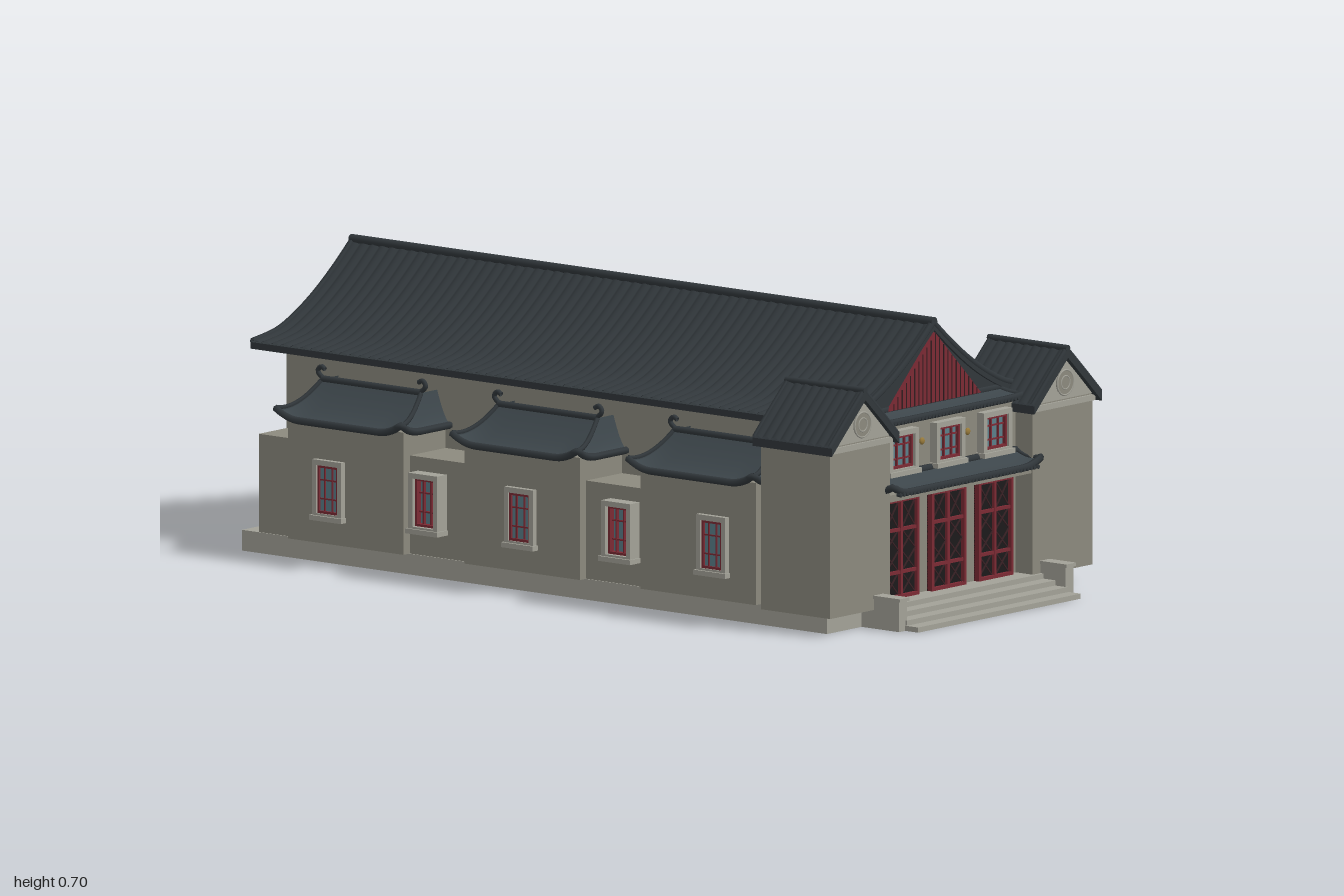
import * as THREE from 'three';
import { ParametricGeometry } from 'three/addons/geometries/ParametricGeometry.js';

const mat = (color) => new THREE.MeshStandardMaterial({ color, side: THREE.DoubleSide });
const M = {
  wall: mat(0x8c8a7e), stone: mat(0xa3a298), tile: mat(0x31373b), slate: mat(0x3c454a),
  red: mat(0x7c2a34), dark: mat(0x1c1a1b), lattice: mat(0x3a2226), glass: mat(0x5a7f8a), gold: mat(0x9a7c3c),
};
const lerp = THREE.MathUtils.lerp;

function add(parent, name, geo, material, x = 0, y = 0, z = 0) {
  const m = new THREE.Mesh(geo, material);
  m.name = name;
  m.position.set(x, y, z);
  parent.add(m);
  return m;
}
// Box given by its limits
function box(parent, name, material, x0, x1, y0, y1, z0, z1) {
  return add(parent, name, new THREE.BoxGeometry(x1 - x0, y1 - y0, z1 - z0), material,
    (x0 + x1) / 2, (y0 + y1) / 2, (z0 + z1) / 2);
}
// Symmetric outline in (z, y), extruded along x
function alongX(pts, x0, x1) {
  const g = new THREE.ExtrudeGeometry(new THREE.Shape(pts), { depth: x1 - x0, bevelEnabled: false });
  return g.rotateY(Math.PI / 2).translate(x0, 0, 0);
}
function ring(w, h, t, depth) {
  const rect = (C, a, b) => new C([[-a, -b], [a, -b], [a, b], [-a, b]].map(p => new THREE.Vector2(...p)));
  const s = rect(THREE.Shape, w / 2, h / 2);
  s.holes.push(rect(THREE.Path, w / 2 - t, h / 2 - t));
  return new THREE.ExtrudeGeometry(s, { depth, bevelEnabled: false });
}
function tube(parent, name, pts, r, material, n = 20) {
  const c = new THREE.CatmullRomCurve3(pts.map(p => new THREE.Vector3(...p)));
  return add(parent, name, new THREE.TubeGeometry(c, n, r, 6), material);
}

// Gable roof: thick slab, rows of round tiles, ridge roll and verge rolls
function gableRoof(name, half, x0, x1, ribs, thick, ridgeR) {
  const g = new THREE.Group();
  g.name = name;
  const right = new THREE.SplineCurve(half.map(p => new THREE.Vector2(...p))).getPoints(16);
  const top = [...right.slice(1).reverse().map(p => new THREE.Vector2(-p.x, p.y)), ...right];
  const under = top.map(p => new THREE.Vector2(p.x, p.y - thick)).reverse();
  add(g, 'roofSlab', alongX([...top, ...under], x0, x1), M.tile);
  for (const s of [-1, 1]) {
    const tiles = new ParametricGeometry((u, v, t) => {
      const i = Math.min(15, Math.floor(v * 16)), p = right[i].clone().lerp(right[i + 1], v * 16 - i);
      t.set(lerp(x0, x1, u), p.y + 0.001 + 0.006 * Math.abs(Math.sin(u * ribs * Math.PI)), s * p.x);
    }, ribs * 4, 16);
    add(g, 'roofTiles', tiles, M.tile);
    for (const x of [x0 + 0.006, x1 - 0.006])
      tube(g, 'vergeRoll', right.map(p => [x, p.y + 0.002, s * p.x]), ridgeR * 0.8, M.tile);
  }
  add(g, 'ridge', new THREE.CylinderGeometry(ridgeR, ridgeR, x1 - x0, 10).rotateZ(Math.PI / 2), M.tile,
    (x0 + x1) / 2, half[0][1] + ridgeR * 0.4, 0);
  return g;
}

// Hipped lean-to roof facing +z with concave slope and lifted corners
function leanTo(name, { hw0, hw1, zb, z0, z1, y0, y1, lift, horns }) {
  const g = new THREE.Group();
  g.name = name;
  const at = (u, v, t) => {
    const hw = lerp(hw0, hw1, v), z = lerp(z0, z1, v);
    const x = u < 0.2 ? -hw : u > 0.8 ? hw : lerp(-hw, hw, (u - 0.2) / 0.6);
    const zz = u < 0.2 ? lerp(zb, z, u / 0.2) : u > 0.8 ? lerp(z, zb, (u - 0.8) / 0.2) : z;
    const d = Math.hypot(hw - Math.abs(x), z - zz);
    return t.set(x, lerp(y0, y1, 1 - (1 - v) ** 1.6) + lift * v * v * Math.max(0, 1 - d / 0.07) ** 2, zz);
  };
  const path = (f, n) => Array.from({ length: n + 1 }, (_, i) => f(i / n, new THREE.Vector3()).toArray());
  add(g, 'slopes', new ParametricGeometry(at, 60, 10), M.slate);
  const eave = tube(g, 'eaveRoll', path((k, t) => at(k, 1, t), 40), 0.009, M.tile, 80);
  eave.position.y = -0.003;
  tube(g, 'ridgeRoll', path((k, t) => at(0.2 + 0.6 * k, 0, t), 4), 0.009, M.tile);
  for (const u of [0.2, 0.8]) tube(g, 'hipRoll', path((k, t) => at(u, k, t), 10), 0.006, M.tile);
  // Curled ends of the ridge
  if (horns) for (const s of [-1, 1])
    tube(g, 'ridgeHorn', [[-0.03, 0], [0, 0.004], [0.014, 0.018], [0.004, 0.03], [-0.008, 0.024]]
      .map(([a, b]) => [s * (hw0 + a), y0 + b, z0]), 0.006, M.tile);
  return g;
}

// Window facing +z, centred on its origin
function windowUnit(w, h, depth) {
  const g = new THREE.Group();
  g.name = 'window';
  add(g, 'surround', ring(w, h, 0.013, depth), M.stone);
  box(g, 'glass', M.glass, -w / 2 + 0.01, w / 2 - 0.01, -h / 2 + 0.01, h / 2 - 0.01, 0, depth * 0.3);
  add(g, 'redFrame', ring(w - 0.026, h - 0.026, 0.006, depth * 0.7), M.red);
  for (const k of [-1, 1]) {
    const x = k * w * 0.13, y = k * h * 0.16;
    box(g, 'mullion', M.red, x - 0.0018, x + 0.0018, -h / 2 + 0.014, h / 2 - 0.014, 0, depth * 0.55);
    box(g, 'glazingBar', M.red, -w / 2 + 0.014, w / 2 - 0.014, y - 0.0018, y + 0.0018, 0, depth * 0.5);
  }
  box(g, 'sill', M.stone, -w / 2 - 0.004, w / 2 + 0.004, -h / 2 - 0.004, -h / 2 + 0.008, 0, depth + 0.006);
  return g;
}

// Panelled double door facing +z, standing on its origin
function doorUnit(w, h) {
  const g = new THREE.Group();
  g.name = 'door';
  box(g, 'panel', M.dark, -w / 2, w / 2, 0, h, 0, 0.006);
  add(g, 'doorFrame', ring(w, h, 0.008, 0.016), M.red, 0, h / 2, 0);
  box(g, 'centreStile', M.red, -0.004, 0.004, 0, h, 0, 0.014);
  const rails = [0.006, 0.062, 0.165, h - 0.006];
  for (const y of rails.slice(1, 3)) box(g, 'rail', M.red, -w / 2, w / 2, y - 0.004, y + 0.004, 0, 0.013);
  // Crossed lattice, one diamond field for each leaf and panel
  for (let i = 0; i < 3; i++) for (const s of [-1, 1]) {
    const ph = rails[i + 1] - rails[i], n = Math.max(1, Math.round(ph / 0.05));
    for (let j = 0; j < n; j++) for (const d of [-1, 1]) {
      const bar = add(g, 'lattice', new THREE.BoxGeometry(Math.hypot(0.052, ph / n) - 0.004, 0.003, 0.003),
        M.lattice, s * 0.031, rails[i] + ph * (j + 0.5) / n, 0.008);
      bar.rotation.z = d * Math.atan2(ph / n, 0.052);
    }
  }
  return g;
}

export function createModel() {
  const root = new THREE.Group();
  root.name = 'hall';

  // Plinth, steps and cheek blocks
  box(root, 'plinth', M.stone, -0.96, 0.845, 0, 0.05, -0.456, 0.456);
  for (let i = 0; i < 4; i++)
    box(root, 'step', M.stone, 0.83, 1 - i * 0.036, i * 0.0125, (i + 1) * 0.0125, -0.303 + i * 0.002, 0.303 - i * 0.002);
  for (const s of [-1, 1]) {
    const block = box(root, 'stepCheek', M.stone, 0.84, 0.96, 0, 0.076, -0.015, 0.015);
    block.position.z = s * 0.311;
    const cap = box(root, 'cheekCap', M.stone, 0.87, 0.965, 0.072, 0.08, -0.018, 0.018);
    cap.position.z = s * 0.311;
  }

  // Main hall under its curved roof
  const half = [[0, 0.683], [0.06, 0.632], [0.13, 0.58], [0.2, 0.538], [0.28, 0.503], [0.375, 0.488]];
  const gable = half.slice(0, 5).map(([z, y]) => [z, y - 0.012]).concat([[0.32, 0.48], [0.32, 0.05]]);
  const outline = [...gable.slice().reverse().map(([z, y]) => [-z, y]), ...gable.slice(1)].map(p => new THREE.Vector2(...p));
  add(root, 'hallWalls', alongX(outline, -0.935, 0.78), M.wall);
  root.add(gableRoof('mainRoof', half, -1, 0.8, 60, 0.016, 0.011));
  box(root, 'frontWall', M.wall, 0.7, 0.83, 0.05, 0.475, -0.27, 0.27);

  // Front gable: dark border, red boarded triangle, skirt roof
  const tri = (a, b, top) => [[-a, b], [a, b], [0, top]].map(p => new THREE.Vector2(...p));
  const border = outline.map(p => new THREE.Vector2(p.x, Math.max(p.y, 0.475)));
  add(root, 'gableBorder', alongX(border, 0.78, 0.793), M.tile);
  add(root, 'gableBoards', alongX(tri(0.172, 0.494, 0.662), 0.793, 0.802), M.red);
  for (let i = -10; i <= 10; i++) {
    const z = i * 0.0155, top = 0.66 - Math.abs(z) * 0.97;
    box(root, 'boardJoint', M.lattice, 0.8, 0.804, 0.494, top, z - 0.001, z + 0.001);
  }
  const front = new THREE.Group();
  front.name = 'entranceFront';
  front.rotation.y = Math.PI / 2;
  root.add(front);
  front.add(leanTo('gableSkirt', { hw0: 0.25, hw1: 0.28, zb: 0.78, z0: 0.79, z1: 0.84, y0: 0.495, y1: 0.478, lift: 0.004 }));
  front.add(leanTo('doorCanopy', { hw0: 0.262, hw1: 0.277, zb: 0.82, z0: 0.835, z1: 0.9, y0: 0.348, y1: 0.32, lift: 0.018 }));
  box(front, 'canopySoffit', M.wall, -0.265, 0.265, 0.295, 0.312, 0.82, 0.88);
  for (let i = -20; i <= 20; i++) {
    add(front, 'canopyTileEnd', new THREE.CylinderGeometry(0.005, 0.005, 0.012, 6).rotateX(Math.PI / 2),
      M.tile, i * 0.0128, 0.315, 0.904);
    add(front, 'skirtTileEnd', new THREE.CylinderGeometry(0.005, 0.005, 0.012, 6).rotateX(Math.PI / 2),
      M.tile, i * 0.0128, 0.474, 0.844);
  }
  for (const i of [-1, 0, 1]) {
    const door = doorUnit(0.128, 0.24);
    door.position.set(i * 0.175, 0.05, 0.83);
    const win = windowUnit(0.107, 0.105, 0.022);
    win.position.set(i * 0.175, 0.403, 0.83);
    front.add(door, win);
    if (i) add(front, 'goldBoss', new THREE.SphereGeometry(0.009, 10, 6).scale(1, 1, 0.5), M.gold, i * 0.085, 0.415, 0.832);
  }

  // Corner towers with small gabled roofs
  for (const s of [-1, 1]) {
    const t = new THREE.Group();
    t.name = 'cornerTower';
    t.position.z = s * 0.378;
    root.add(t);
    const body = [[-0.112, 0.045], [0.112, 0.045], [0.112, 0.455], [0, 0.565], [-0.112, 0.455]];
    add(t, 'towerWalls', alongX(body.map(p => new THREE.Vector2(...p)), 0.67, 0.883), M.wall);
    add(t, 'towerGable', alongX(tri(0.105, 0.46, 0.562), 0.88, 0.887), M.stone);
    box(t, 'towerBand', M.stone, 0.668, 0.889, 0.442, 0.456, -0.115, 0.115);
    t.add(gableRoof('towerRoof', [[0, 0.58], [0.064, 0.52], [0.126, 0.46]], 0.655, 0.9, 9, 0.02, 0.008));
    add(t, 'medallion', new THREE.CylinderGeometry(0.03, 0.03, 0.008, 28).rotateZ(Math.PI / 2), M.wall, 0.888, 0.5, 0);
    for (const r of [0.03, 0.016])
      add(t, 'medallionRim', new THREE.TorusGeometry(r, 0.0025, 6, 28).rotateY(Math.PI / 2), M.stone, 0.891, 0.5, 0);
  }

  // Side aisles with roofed bays and windows
  for (const s of [-1, 1]) {
    const side = new THREE.Group();
    side.name = 'sideAisle';
    if (s < 0) side.rotation.y = Math.PI;
    root.add(side);
    box(side, 'aisleWall', M.wall, s > 0 ? -0.91 : -0.68, s > 0 ? 0.68 : 0.91, 0.05, 0.287, 0.3, 0.453);
    for (const bx of [-0.622, -0.078, 0.465]) {
      const bay = new THREE.Group();
      bay.name = 'bay';
      bay.position.x = s * bx;
      side.add(bay);
      box(bay, 'bayWall', M.wall, -0.178, 0.178, 0.05, 0.345, 0.3, 0.477);
      bay.add(leanTo('bayRoof', { hw0: 0.152, hw1: 0.192, zb: 0.315, z0: 0.38, z1: 0.505, y0: 0.425, y1: 0.347, lift: 0.022, horns: true }));
    }
    [-0.67, -0.375, -0.078, 0.22, 0.515].forEach((x, i) => {
      const win = windowUnit(0.09, 0.142, i % 2 ? 0.036 : 0.014);
      win.position.set(s * x, 0.182, i % 2 ? 0.453 : 0.477);
      side.add(win);
    });
  }
  return root;
}
